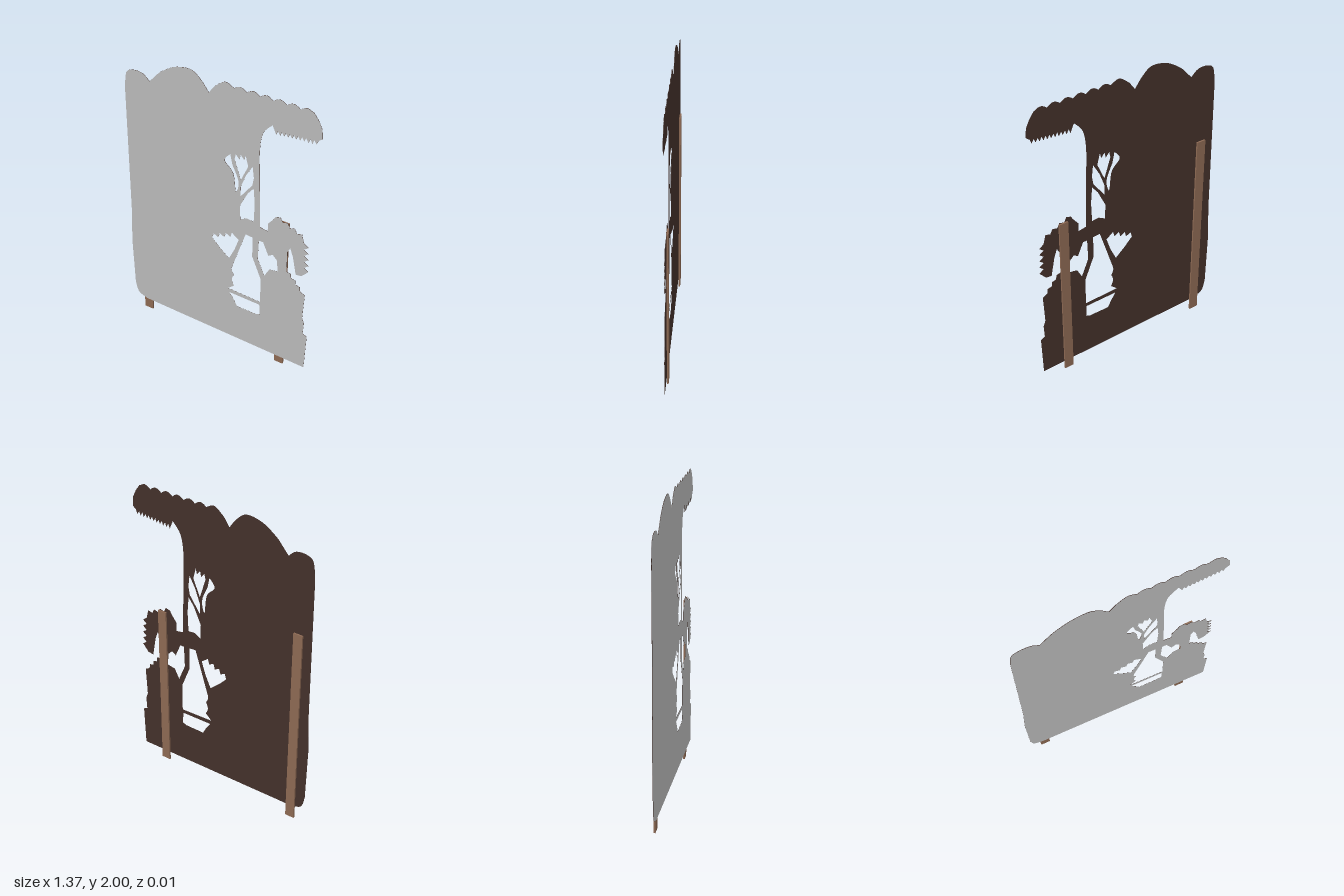
import * as THREE from 'three';

const makeMaterial = (name, color) => {
  const material = new THREE.MeshStandardMaterial({ color });
  material.name = name;
  return material;
};
const grey = makeMaterial('front grey', 0xb8b8b8);
const dark = makeMaterial('dark brown', 0x43302a);
const wood = makeMaterial('post wood', 0x8b6852);

// Outline helpers work in hundredths of a unit
const vec = ([x, y]) => new THREE.Vector2(x, y);
const smooth = (...points) => new THREE.SplineCurve(points.map(vec)).getPoints(points.length * 4).map((p) => [p.x, p.y]);

// Repeated bumps to the left of the line a-b; more steps make them rounder
function bumps(a, b, count, height, steps) {
  const start = vec(a), along = vec(b).sub(start);
  const out = new THREE.Vector2(-along.y, along.x).normalize();
  return Array.from({ length: count * steps }, (_, i) => {
    const rise = height * Math.sin((Math.PI * (i % steps)) / steps);
    const p = start.clone().addScaledVector(along, i / (count * steps)).addScaledVector(out, rise);
    return [p.x, p.y];
  });
}
const scallops = (a, b, count, height) => bumps(a, b, count, height, 6);
const leafTips = (a, b, count, height) => bumps(a, b, count, height, 2);
const scaled = (list) => list.map((p) => vec(p).multiplyScalar(0.01));

// Left edge, cloud-shaped top and overhanging branch
function crownEdge() {
  return [
    ...smooth([-58, 8], [-65, 11], [-67.5, 19]),
    [-68.5, 55], [-67.5, 80],
    ...smooth([-67.5, 172], [-66, 184], [-61, 187.3], [-54, 187], [-49, 183]),
    ...smooth([-45, 187.5], [-40, 192.5], [-30, 198.5], [-19, 200], [-12, 195], [-7, 188.5]),
    ...smooth([-3, 194], [4, 199], [10, 196.8]),
    ...scallops([10, 196.5], [62, 196.5], 6, 2.2),
    [62, 197], [65, 193], [67.5, 188], [68, 182],
    ...leafTips([65.5, 180], [37, 177.5], 11, 2.7),
    ...smooth([36, 180.5], [30, 173], [28, 160], [28.5, 140], [29.5, 105]),
  ];
}

// Right tree foliage, drooping frond, bush and foot
function foliageEdge() {
  return [
    [35, 104], [35, 110], [39, 115],
    ...leafTips([40, 117], [60, 108], 4, 2.2),
    ...leafTips([60, 105], [61, 82], 5, 3),
    [59.5, 79.5], [55.5, 79], [53, 92], [51, 97.5], [49, 94],
    ...leafTips([49, 78.5], [59, 67], 3, 1.8),
    [59, 67], [62.5, 65], [61.5, 46], [63, 42], [62.5, 33.5], [65.5, 32], [64.5, 5],
  ];
}

// Gaps between the upper branches
function upperOpenings() {
  return [
    smooth([8, 151], [4, 145], [10, 138], [12, 125], [14, 133], [9.5, 144]),
    [...leafTips([11, 148.5], [21, 151], 3, 3.5), [20.5, 146.5], [15.5, 135]],
    [[23.5, 147.5], [24.5, 139.5], [23.5, 134], [15.5, 123], [15.5, 130], [19, 139.5]],
    [[24.5, 132], [25.5, 121], [25, 107.5], [20, 108], [15.5, 105.5], [15, 115.5], [20.5, 127]],
  ];
}

// Gaps around the lower trunk, fence rail and leaf fan
function lowerOpenings() {
  return [
    [...leafTips([-5, 83], [13, 91], 4, 3), [14.5, 89], [11.5, 80], [7.5, 71.5], [1, 77]],
    [
      [19.5, 95.5], [24.5, 95], [24.5, 80], [31, 64.5], [31, 45.5], [7, 46.5],
      ...scallops([11.5, 50.5], [11, 68], 2, 1.6), [14.5, 80],
    ],
    [[8, 43.5], [30.5, 43], [31, 35], [28, 34], [14, 34], [11.5, 38.5]],
    [[29, 94.5], [32, 94.5], [36, 85.5], [39, 87.5], [42, 84.5], [43, 76], [37, 75], [33.5, 68.5], [28.5, 80]],
  ];
}

export function createModel() {
  const model = new THREE.Group();
  model.name = 'treeCutoutPanel';
  const add = (name, geometry, material) => {
    const mesh = new THREE.Mesh(geometry, material);
    mesh.name = name;
    model.add(mesh);
    return mesh;
  };

  const outline = new THREE.Shape(scaled([...crownEdge(), ...foliageEdge()]));
  outline.holes = [...upperOpenings(), ...lowerOpenings()].map((list) => new THREE.Path(scaled(list)));

  // Thin board with dark back and edges, and a grey front sheet
  const board = new THREE.ExtrudeGeometry(outline, { depth: 0.002, bevelEnabled: false });
  add('panelBoard', board, dark).position.z = 0.004;
  add('panelFront', new THREE.ShapeGeometry(outline), grey).position.z = 0.007;

  // Support posts behind the board, leaning slightly
  const posts = [
    { name: 'rightPost', x: -0.577, height: 1.35, lean: 0.007 },
    { name: 'leftPost', x: 0.459, height: 1.15, lean: -0.002 },
  ];
  for (const { name, x, height, lean } of posts) {
    const post = add(name, new THREE.BoxGeometry(0.064, height, 0.011), wood);
    post.position.set(x, height / 2, -0.0015);
    post.rotation.z = lean;
  }
  return model;
}
